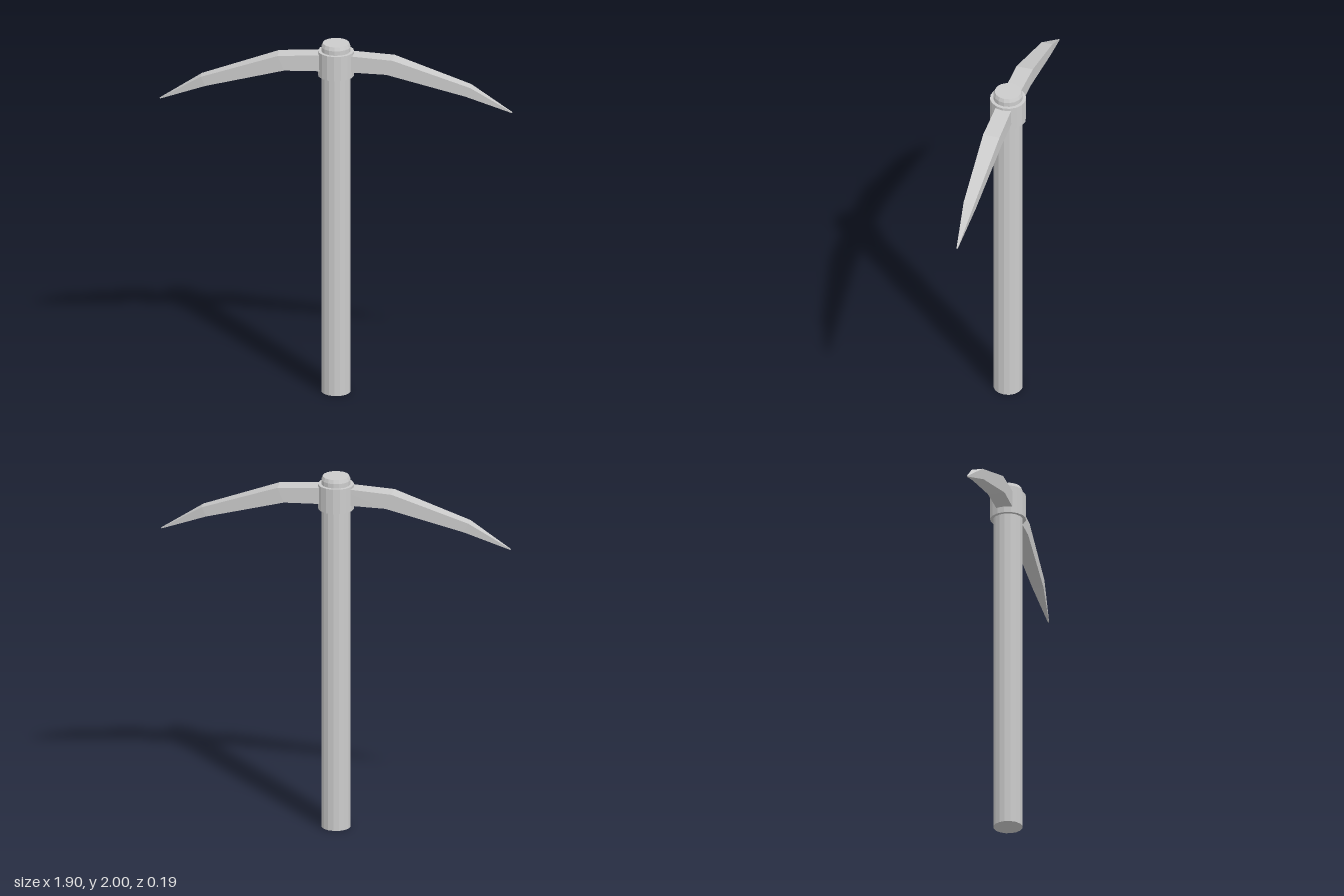
import * as THREE from 'three';

const material = new THREE.MeshStandardMaterial({ color: 0xcccccc, flatShading: true });

// Turned part from [radius, y] points
function turned(name, points, sides) {
  const geo = new THREE.LatheGeometry(points.map(([r, y]) => new THREE.Vector2(r, y)), sides);
  const mesh = new THREE.Mesh(geo, material);
  mesh.name = name;
  return mesh;
}

// Four-cornered sections joined along x: [xTop, yTop, xBottom, yBottom, halfWidth]
function pickBlade(sections) {
  const pos = [], index = [];
  for (const [xt, yt, xb, yb, w] of sections) {
    pos.push(xt, yt, w, xb, yb, w, xb, yb, -w, xt, yt, -w);
  }
  for (let s = 0; s < sections.length - 1; s++) {
    for (let k = 0; k < 4; k++) {
      const a = s * 4 + k, b = s * 4 + (k + 1) % 4;
      index.push(a, b, b + 4, a, b + 4, a + 4);
    }
  }
  const e = (sections.length - 1) * 4;
  index.push(0, 2, 1, 0, 3, 2, e, e + 1, e + 2, e, e + 2, e + 3);
  const geo = new THREE.BufferGeometry();
  geo.setAttribute('position', new THREE.Float32BufferAttribute(pos, 3));
  geo.setIndex(index);
  const flat = geo.toNonIndexed();
  flat.computeVertexNormals();
  return flat;
}

export function createModel() {
  const model = new THREE.Group();

  // Handle with a bevelled top
  model.add(turned('handle', [[0, 0], [0.079, 0], [0.079, 1.98], [0.071, 2], [0, 2]], 16));

  // Collar holding the blades
  model.add(turned('collar', [[0.07, 1.815], [0.097, 1.815], [0.097, 1.955], [0.07, 1.955]], 16));

  // Two curved blades tapering to points
  const geo = pickBlade([
    [0.02, 1.945, 0.02, 1.85, 0.043],
    [0.31, 1.927, 0.275, 1.845, 0.046],
    [0.725, 1.783, 0.7, 1.732, 0.03],
    [0.95, 1.642, 0.947, 1.638, 0.003],
  ]);
  ['leftBlade', 'rightBlade'].forEach((name, i) => {
    const blade = new THREE.Mesh(geo, material);
    blade.name = name;
    blade.rotation.y = i * Math.PI;
    model.add(blade);
  });
  return model;
}
